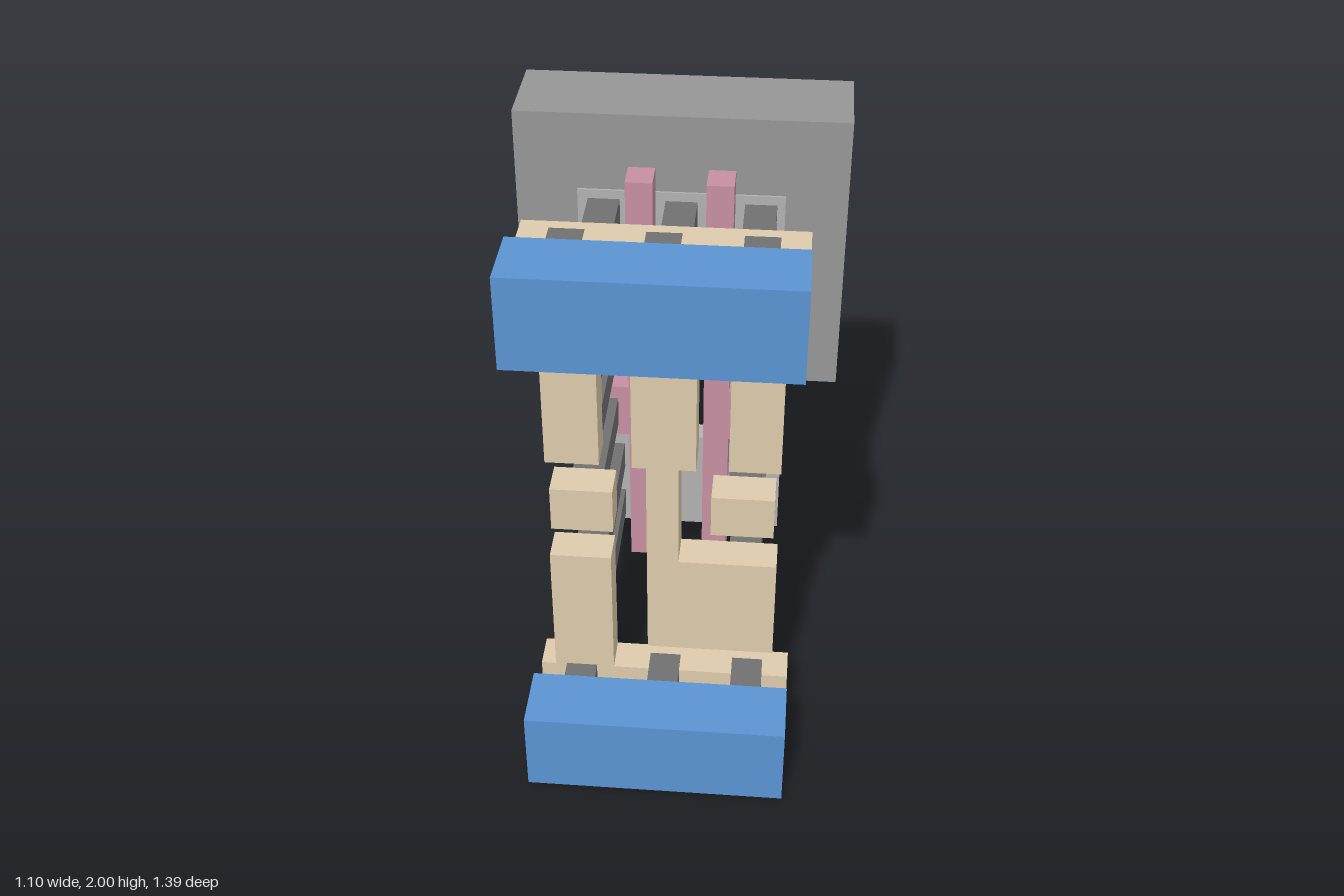
import * as THREE from 'three';

const mat = (color) => new THREE.MeshStandardMaterial({ color, flatShading: true });
const BLUE = mat(0x5b94d2), TAN = mat(0xddcbac), PINK = mat(0xc68fa2);
const DARK = mat(0x707070), WELL = mat(0x969696), PLATE = mat(0xb2b2b2);

// Box given by its extents on each axis
function block(name, material, [x0, x1], [y0, y1], [z0, z1]) {
  const mesh = new THREE.Mesh(new THREE.BoxGeometry(x1 - x0, y1 - y0, z1 - z0), material);
  mesh.position.set((x0 + x1) / 2, (y0 + y1) / 2, (z0 + z1) / 2);
  mesh.name = name;
  return mesh;
}

// Flat outline extruded through the wiring layer
const LAYER = [0.2, 0.32];
function wire(name, points) {
  const shape = new THREE.Shape(points.map(([x, y]) => new THREE.Vector2(x, y)));
  const geo = new THREE.ExtrudeGeometry(shape, { depth: LAYER[1] - LAYER[0], bevelEnabled: false });
  geo.translate(0, 0, LAYER[0]);
  const mesh = new THREE.Mesh(geo, TAN);
  mesh.name = name;
  return mesh;
}

export function createModel() {
  const model = new THREE.Group();
  model.name = 'layeredCell';

  // Blue power bars at the front
  model.add(block('lowerBar', BLUE, [-0.43, 0.43], [0, 0.3], [0.475, 0.695]));
  model.add(block('upperBar', BLUE, [-0.43, 0.43], [1.7, 2], [0.475, 0.695]));

  // Tan wiring: upper rail with two arms, lower rail with one, and the central output
  model.add(wire('upperRail', [
    [-0.43, 1.8], [-0.38, 1.8], [-0.38, 1.09], [-0.205, 1.09], [-0.205, 1.8],
    [0.21, 1.8], [0.21, 1.09], [0.375, 1.09], [0.375, 1.8], [0.43, 1.8],
    [0.43, 1.9], [-0.43, 1.9],
  ]));
  model.add(wire('lowerRail', [
    [-0.43, 0.1], [0.43, 0.1], [0.43, 0.2], [-0.175, 0.2],
    [-0.175, 0.7], [-0.38, 0.7], [-0.38, 0.2], [-0.43, 0.2],
  ]));
  model.add(wire('outputWire', [
    [-0.055, 0.31], [0.375, 0.31], [0.375, 0.7], [0.05, 0.7], [0.05, 1.085],
    [0.105, 1.085], [0.105, 1.69], [-0.1, 1.69], [-0.1, 1.085], [-0.055, 1.085],
  ]));
  model.add(block('leftInputPad', TAN, [0.155, 0.36], [0.825, 0.98], LAYER));
  model.add(block('rightInputPad', TAN, [-0.37, -0.165], [0.815, 0.98], LAYER));

  // Pink gates: tall strips with a side pad
  const gateZ = [-0.38, -0.272];
  const gate = (name, points) => {
    const shape = new THREE.Shape(points.map(([x, y]) => new THREE.Vector2(x, y)));
    const geo = new THREE.ExtrudeGeometry(shape, { depth: gateZ[1] - gateZ[0], bevelEnabled: false });
    geo.translate(0, 0, gateZ[0]);
    const mesh = new THREE.Mesh(geo, PINK);
    mesh.name = name;
    model.add(mesh);
  };
  gate('leftGate', [
    [0.09, 0.22], [0.18, 0.22], [0.18, 0.775], [0.363, 0.775],
    [0.363, 0.98], [0.18, 0.98], [0.18, 1.785], [0.09, 1.785],
  ]);
  gate('rightGate', [
    [-0.175, 0.22], [-0.085, 0.22], [-0.085, 1.785], [-0.175, 1.785],
    [-0.175, 0.98], [-0.367, 0.98], [-0.367, 0.775], [-0.175, 0.775],
  ]);

  // Grey well and the two active plates
  model.add(block('well', WELL, [-0.55, 0.55], [0.97, 1.97], [-0.697, -0.38]));
  model.add(block('upperPlate', PLATE, [-0.345, 0.345], [1.085, 1.7], [-0.455, -0.373]));
  model.add(block('lowerPlate', PLATE, [-0.368, 0.368], [0.3, 0.7], [-0.455, -0.373]));

  // Dark posts joining the layers
  const posts = new THREE.Group();
  posts.name = 'posts';
  const post = (name, x, y, z) =>
    posts.add(block(name, DARK, [x - 0.053, x + 0.053], [y - 0.053, y + 0.053], z));
  for (const x of [-0.288, 0, 0.288])
    for (const y of [0.15, 1.85]) post('railPost', x, y, [0.245, 0.48]);
  for (const x of [-0.257, 0.002, 0.265])
    for (const y of [1.615, 1.402, 1.193]) post('upperPost', x, y, [-0.375, 0.21]);
  for (const x of [-0.257, 0.265])
    for (const y of [0.603, 0.388]) post('lowerPost', x, y, [-0.375, 0.21]);
  for (const x of [-0.265, 0.257]) post('gatePost', x, 0.878, [-0.382, 0.21]);
  model.add(posts);

  return model;
}
